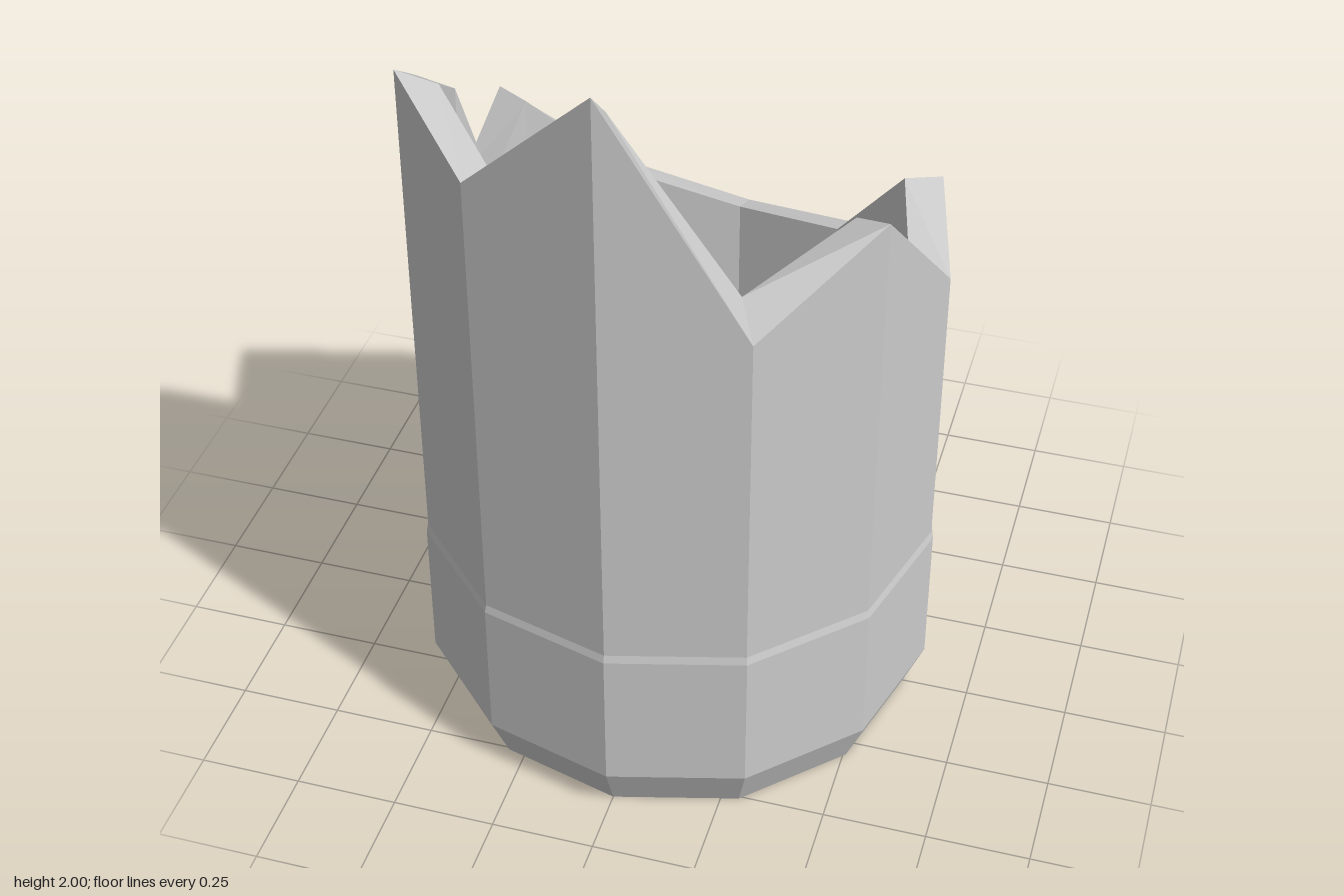
import * as THREE from 'three';

// Columns around the vessel: [twelfth of a turn from the front, outer rim height, inner rim height]
const COLUMNS = [
  [0, 2.0, 1.91], [1, 1.4, 1.46], [2, 1.6, 1.57], [3, 1.26, 1.27], [4, 1.32, 1.33],
  [5, 0.99, 1.02], [6, 0.95, 0.99], [7, 1.07, 1.09], [8, 1.38, 1.38], [8.56, 1.21, 1.24],
  [9, 1.58, 1.56], [10, 1.79, 1.74], [11, 1.69, 1.65],
];
const OUTER = 0.63, INNER = 0.535, FLOOR = 0.1;

// Point on a twelve-sided ring; fractional positions lie on the straight side
function ringPoint(t, r, y) {
  const corner = (k) => new THREE.Vector3(r * Math.sin(k * Math.PI / 6), y, r * Math.cos(k * Math.PI / 6));
  const k = Math.floor(t);
  return corner(k).lerp(corner(k + 1), t - k);
}

const ring = (r, y) => COLUMNS.map(([t]) => ringPoint(t, r, y));

// Flat-sided skin through successive rings
function skin(name, rings, material) {
  const pos = [];
  const tri = (a, b, c) => {
    const area = b.clone().sub(a).cross(c.clone().sub(a)).length();
    if (area > 1e-9) for (const p of [a, b, c]) pos.push(p.x, p.y, p.z);
  };
  for (let k = 0; k < rings.length - 1; k++) {
    const lo = rings[k], hi = rings[k + 1];
    for (let i = 0; i < lo.length; i++) {
      const j = (i + 1) % lo.length;
      if (i === 3) {
        tri(lo[i], lo[j], hi[j]);
        tri(lo[i], hi[j], hi[i]);
      } else {
        tri(lo[i], lo[j], hi[i]);
        tri(lo[j], hi[j], hi[i]);
      }
    }
  }
  const geometry = new THREE.BufferGeometry();
  geometry.setAttribute('position', new THREE.Float32BufferAttribute(pos, 3));
  geometry.computeVertexNormals();
  const mesh = new THREE.Mesh(geometry, material);
  mesh.name = name;
  return mesh;
}

export function createModel() {
  const group = new THREE.Group();
  group.name = 'brokenVessel';
  const material = new THREE.MeshStandardMaterial({ color: 0xcccccc, flatShading: true });

  const foot = ring(0.585, 0);
  const outerRim = COLUMNS.map(([t, y]) => ringPoint(t, OUTER, y));
  const innerRim = COLUMNS.map(([t, , y]) => ringPoint(t, INNER, y));

  // The floor runs straight across one corner, so the wall leans in there
  const floorEdge = ring(INNER, FLOOR);
  floorEdge[3].x = floorEdge[2].x;

  group.add(
    // Recessed underside with a narrow foot ring
    skin('base', [ring(0, 0.03), ring(0.52, 0.03), ring(0.545, 0), foot], material),
    // Bevelled foot, slightly thicker lower band, straight wall
    skin('outerWall', [foot, ring(0.635, 0.12), ring(0.635, 0.49), ring(OUTER, 0.51), outerRim], material),
    // Jagged broken edge
    skin('brokenRim', [outerRim, innerRim], material),
    skin('innerWall', [innerRim, floorEdge], material),
    skin('floor', [floorEdge, ring(0, FLOOR)], material),
  );
  return group;
}
